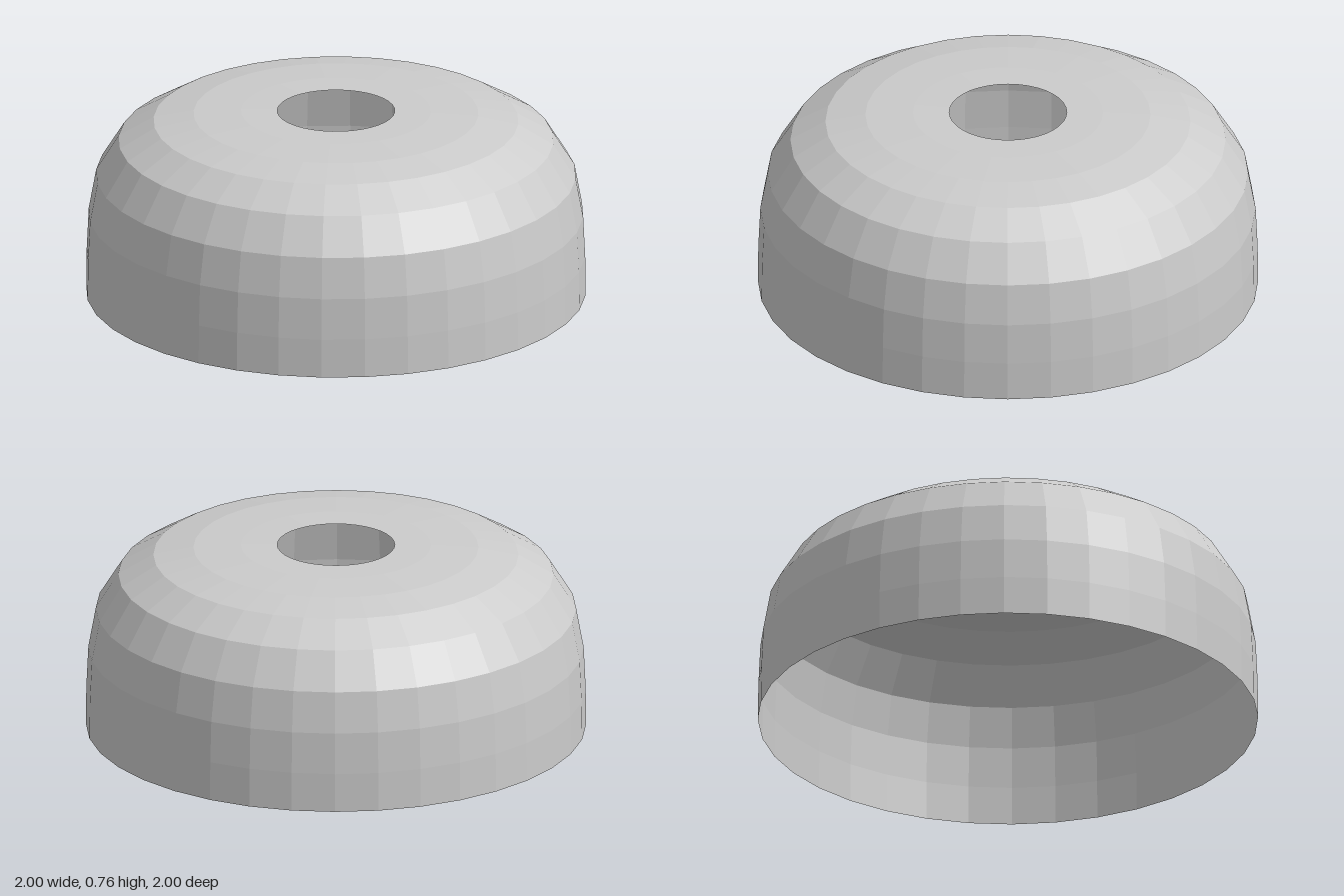
import * as THREE from 'three';

export function createModel() {
  const group = new THREE.Group();
  group.name = 'dome';

  // Thin open shell: straight wall, rounded shoulder, nearly flat top with a central hole
  const profile = [
    [1, 0], [0.998, 0.16], [0.99, 0.33], [0.96, 0.495], [0.87, 0.64],
    [0.73, 0.723], [0.57, 0.754], [0.38, 0.764], [0.235, 0.765],
  ].map(([r, y]) => new THREE.Vector2(r, y));

  const shell = new THREE.Mesh(
    new THREE.LatheGeometry(profile, 36),
    new THREE.MeshStandardMaterial({ color: 0xcccccc, flatShading: true, side: THREE.DoubleSide })
  );
  shell.name = 'domeShell';
  group.add(shell);
  return group;
}
